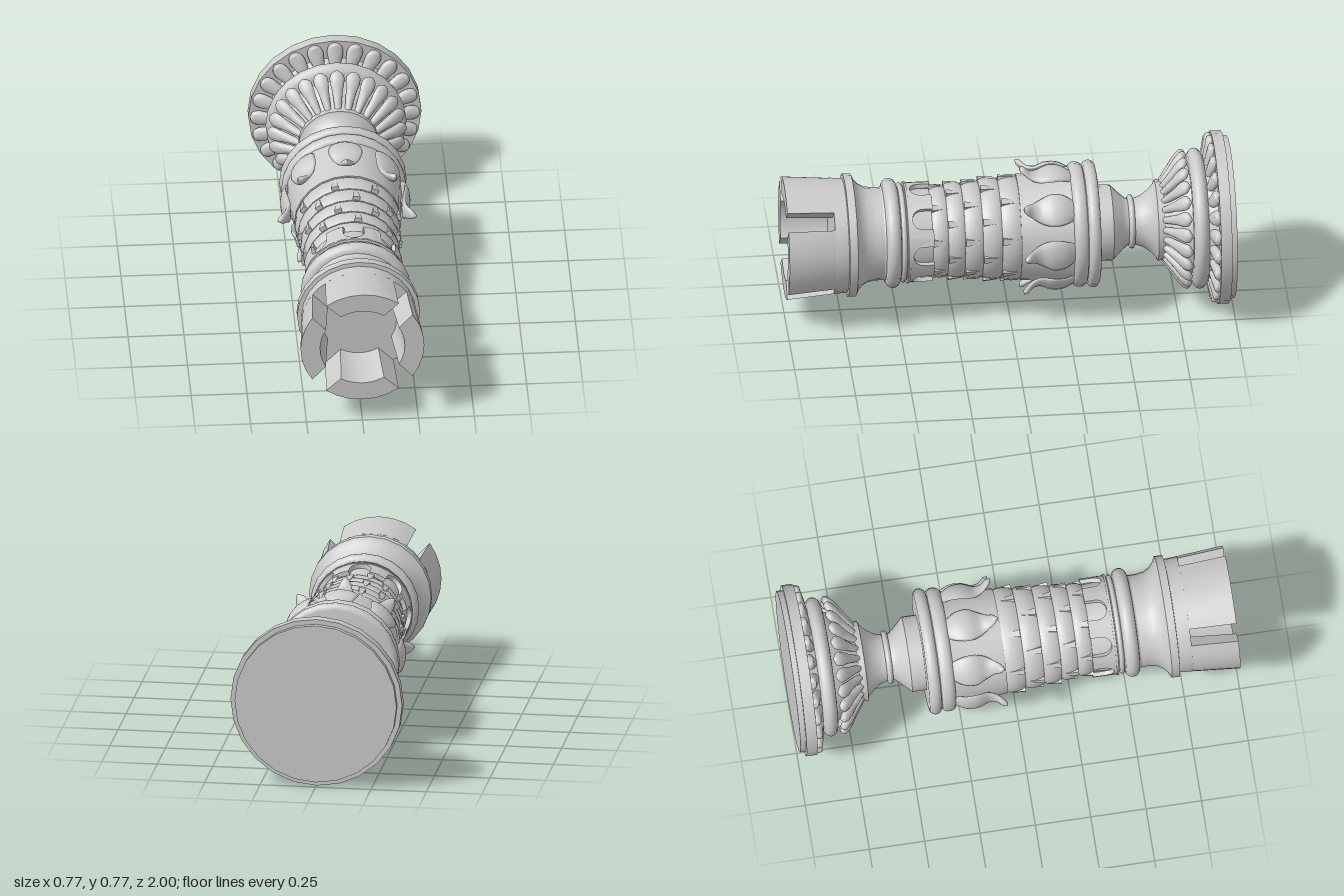
import * as THREE from 'three';
import { toCreasedNormals } from 'three/addons/utils/BufferGeometryUtils.js';

const SIDES = 24;
const material = new THREE.MeshStandardMaterial({ color: 0xcccccc });

// The handle is turned around local y (which becomes z); points are [radius, height].
function turned(name, points) {
  const geo = new THREE.LatheGeometry(points.map(([r, y]) => new THREE.Vector2(r, y)), SIDES);
  const mesh = new THREE.Mesh(toCreasedNormals(geo, 0.62), material);
  mesh.name = name;
  return mesh;
}

// Half-round moulding between two heights
function bead(y0, y1, inner, outer, n = 8) {
  return Array.from({ length: n + 1 }, (_, i) => {
    const a = (i / n) * Math.PI;
    return [inner + (outer - inner) * Math.sin(a), (y0 + y1) / 2 - ((y1 - y0) / 2) * Math.cos(a)];
  });
}

// Repeats one geometry around the axis
function around(name, geo, count, offset = 0) {
  const group = new THREE.Group();
  group.name = name + 's';
  for (let i = 0; i < count; i++) {
    const mesh = new THREE.Mesh(geo, material);
    mesh.name = name;
    mesh.rotation.y = offset + (i / count) * Math.PI * 2;
    group.add(mesh);
  }
  return group;
}

// Lens-shaped loft along stations [radius, height, halfWidth]; curl wraps it round the body
function petal(stations, thickness, curl = 0, steps = 14, ring = 12) {
  const curve = new THREE.CatmullRomCurve3(stations.map(([r, y, w]) => new THREE.Vector3(w, y, r)));
  const pos = [], index = [];
  for (let i = 0; i <= steps; i++) {
    const p = curve.getPoint(i / steps), t = curve.getTangent(i / steps);
    const len = Math.hypot(t.y, t.z) || 1;
    const w = Math.max(p.x, 0.0005), h = Math.min(thickness, w);
    for (let j = 0; j < ring; j++) {
      const a = (j / ring) * Math.PI * 2;
      const x = w * Math.cos(a), n = h * Math.sin(a);
      pos.push(x, p.y - (n * t.z) / len, p.z + (n * t.y) / len - curl * x * x);
      if (i < steps) {
        const k = i * ring + j, m = i * ring + ((j + 1) % ring);
        index.push(k, k + ring, m, m, k + ring, m + ring);
      }
    }
  }
  const geo = new THREE.BufferGeometry();
  geo.setAttribute('position', new THREE.Float32BufferAttribute(pos, 3));
  geo.setIndex(index);
  geo.computeVertexNormals();
  return geo;
}

// Moves every vertex by a rule
function reshape(geo, rule) {
  const p = geo.attributes.position, v = new THREE.Vector3();
  for (let i = 0; i < p.count; i++) {
    rule(v.fromBufferAttribute(p, i));
    p.setXYZ(i, v.x, v.y, v.z);
  }
  return toCreasedNormals(geo, 0.5);
}

// One bay of the cuff: a strip with a round-ended notch, bent round the body
function cuffBay() {
  const R = 0.212, half = (R * Math.PI) / 8, w = 0.045, y0 = 0.345, y1 = 0.45;
  const shape = new THREE.Shape();
  shape.moveTo(-half, y0);
  shape.lineTo(-w, y0);
  for (let i = 0; i <= 10; i++) {
    const a = Math.PI + (i / 10) * Math.PI;
    shape.lineTo(w * Math.cos(a), 0.393 - w * Math.sin(a));
  }
  shape.lineTo(w, y0);
  shape.lineTo(half, y0);
  for (let i = 0; i <= 6; i++) shape.lineTo(half - (i / 6) * 2 * half, y1);
  const geo = new THREE.ExtrudeGeometry(shape, { depth: 0.02, bevelEnabled: false });
  return reshape(geo, (v) => {
    const a = v.x / R, r = 0.203 + v.z;
    v.set(r * Math.sin(a), v.y, r * Math.cos(a));
  });
}

// One quarter of the slotted socket, flaring toward the open end
function socketQuarter() {
  const ri = 0.165, ro = 0.26, slot = 0.041, depth = 0.21, n = 6;
  const shape = new THREE.Shape();
  const arc = (r, dir) => {
    const a0 = Math.asin(slot / r), span = Math.PI / 2 - 2 * a0;
    for (let i = 0; i <= n; i++) {
      const a = a0 + span * (dir > 0 ? i / n : 1 - i / n);
      const x = r * Math.cos(a), y = r * Math.sin(a);
      if (dir > 0 && i === 0) shape.moveTo(x, y); else shape.lineTo(x, y);
    }
  };
  arc(ro, 1);
  arc(ri, -1);
  const geo = new THREE.ExtrudeGeometry(shape, { depth, bevelEnabled: false });
  geo.rotateX(-Math.PI / 2);
  return reshape(geo, (v) => {
    const t = v.y / depth, r = Math.hypot(v.x, v.z);
    const s = 1 + t * (r > 0.21 ? 0.065 : 0.15);
    v.set(v.x * s, v.y + 0.79, v.z * s);
  });
}

export function createModel() {
  const root = new THREE.Group();
  root.name = 'handle';
  const body = new THREE.Group();
  body.name = 'turnedBody';
  body.rotation.x = Math.PI / 2;
  body.position.y = 0.388;
  root.add(body);

  // End disc with a ring of round tongues
  body.add(turned('endDisc', [[0, -1], [0.365, -1], [0.365, -0.975], [0.387, -0.975],
    [0.387, -0.925], [0.3, -0.925], [0.28, -0.88], [0, -0.88]]));
  const tongue = petal([[0.27, -0.9, 0.022], [0.31, -0.907, 0.032], [0.345, -0.915, 0.036],
    [0.37, -0.92, 0.024], [0.38, -0.922, 0]], 0.02);
  body.add(around('discTongue', tongue, 24));

  // Fluted cup
  body.add(turned('cupRing', [[0, -0.885], ...bead(-0.885, -0.815, 0.27, 0.315), [0, -0.815]]));
  body.add(turned('cup', [[0.25, -0.82], [0.235, -0.79], [0.2, -0.745], [0.17, -0.69]]));
  const flute = petal([[0.17, -0.693, 0.014], [0.195, -0.715, 0.018], [0.235, -0.745, 0.024],
    [0.27, -0.768, 0.032], [0.292, -0.79, 0.03], [0.298, -0.808, 0.004]], 0.019);
  body.add(around('flute', flute, 24));

  // Narrow neck
  body.add(turned('neck', [[0, -0.695], [0.18, -0.695], [0.18, -0.665], [0.165, -0.66], [0.135, -0.63],
    [0.115, -0.6], [0.105, -0.57], ...bead(-0.567, -0.54, 0.105, 0.121), [0.108, -0.53],
    [0.125, -0.51], [0.17, -0.465], [0.17, -0.395]]));

  // Double-ringed collar and the drum behind the leaves
  body.add(turned('collar', [[0, -0.4], [0.26, -0.4], ...bead(-0.4, -0.345, 0.26, 0.285),
    ...bead(-0.343, -0.28, 0.26, 0.28)]));
  body.add(turned('drum', [[0.26, -0.285], [0.252, -0.22], [0.245, -0.14], [0.237, -0.045], [0.2, -0.045]]));
  const leaf = petal([[0.25, -0.285, 0.045], [0.275, -0.235, 0.07], [0.277, -0.185, 0.076],
    [0.261, -0.135, 0.056], [0.268, -0.1, 0.036], [0.292, -0.072, 0.022], [0.312, -0.055, 0]], 0.013, 1.8, 20);
  body.add(around('curledLeaf', leaf, 8));

  // Tapering grip of stacked bands with staggered studs
  const edges = [-0.05, 0.04, 0.125, 0.205, 0.28, 0.35];
  for (let i = 0; i < 5; i++) {
    const a = edges[i], b = edges[i + 1], h = b - a, r = 0.236 - i * 0.007;
    body.add(turned('gripBand', [[r - 0.03, a], [r - 0.008, a], [r, a + h * 0.2], [r + 0.001, a + h * 0.5],
      [r - 0.003, a + h * 0.8], [r - 0.012, b], [r - 0.03, b]]));
    const stud = new THREE.CylinderGeometry(0.023, 0.011, h * 0.75, 4).toNonIndexed();
    stud.rotateY(Math.PI / 4).scale(1, 1, 0.7).translate(0, (a + b) / 2 + h * 0.1, r - 0.005);
    stud.computeVertexNormals();
    body.add(around('gripStud', stud, 8, 0.26 + i * Math.PI / 8));
  }

  // Notched cuff and mouldings
  body.add(around('cuffBay', cuffBay(), 8));
  body.add(turned('cuffCore', [[0.196, 0.34], [0.204, 0.45], [0.228, 0.45], [0.228, 0.46], [0.212, 0.462],
    ...bead(0.465, 0.488, 0.212, 0.224), ...bead(0.49, 0.557, 0.212, 0.246), [0.208, 0.565]]));

  // Flared shoulder, flange and socket base with its floor
  body.add(turned('shoulder', [[0.208, 0.56], [0.208, 0.6], [0.214, 0.635], [0.228, 0.66], [0.25, 0.68],
    [0.275, 0.692], [0.275, 0.728], [0.256, 0.73], [0.26, 0.79], [0, 0.79]]));
  body.add(around('socketQuarter', socketQuarter(), 4, Math.PI / 4));
  return root;
}
